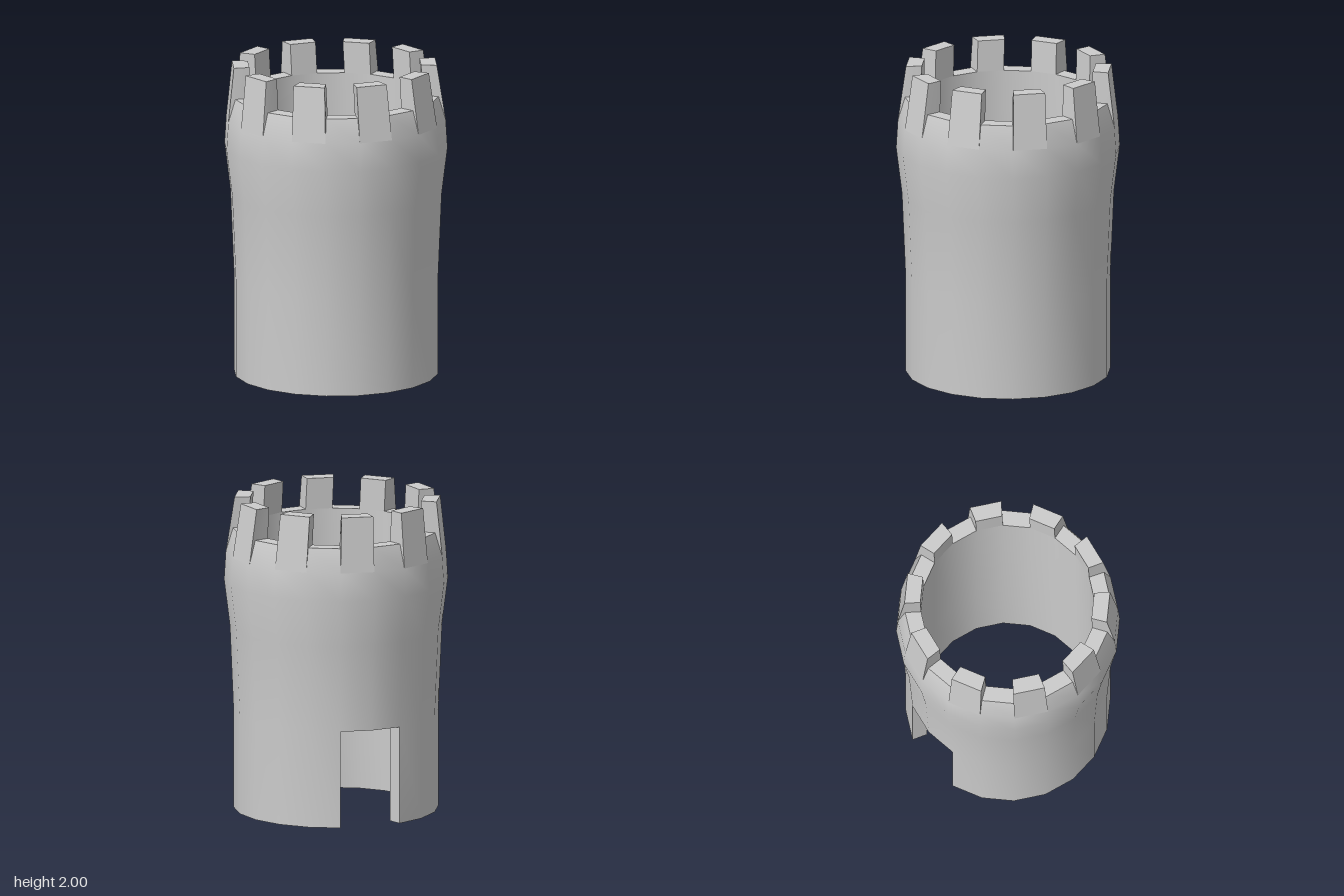
import * as THREE from 'three';
import { toCreasedNormals } from 'three/addons/utils/BufferGeometryUtils.js';

const SIDES = 20, STEP = 18, START = 7.3;
const INNER = 0.548, CRENEL_Y = 1.8, TOP_Y = 2, TOP_R = 0.648;
// Outer wall profile as [radius, height]
const PROFILE = [[0.645, 0], [0.645, 0.62], [0.668, 1.17], [0.705, 1.47], [0.694, 1.65], [TOP_R, CRENEL_Y]];
const SHOULDER = PROFILE[4];
const isMerlon = k => k % 2 === 1;
const isNotch = k => k === 14 || k === 15;

// Point on ring edge k; the merlon tops lean slightly
function at(k, [r, y]) {
  const a = THREE.MathUtils.degToRad(START + STEP * k);
  const lean = y > CRENEL_Y ? 1 : 0;
  return [r * Math.cos(a) - 0.004 * lean, y, r * Math.sin(a) - 0.011 * lean];
}

// Collects convex faces, each split into a triangle fan
function faceSet() {
  const pos = [];
  const face = (pts, flip = false) => {
    const p = flip ? [...pts].reverse() : pts;
    for (let i = 1; i < p.length - 1; i++) pos.push(...p[0], ...p[i], ...p[i + 1]);
  };
  // Strip across segment k, from one section point to the next
  const strip = (k, from, to) => face([at(k, from), at(k, to), at(k + 1, to), at(k + 1, from)]);
  // Flat face lying in the radial plane of edge k
  const section = (k, pts, flip) => face(pts.map(p => at(k, p)), flip);
  const mesh = (name, material) => {
    const g = new THREE.BufferGeometry();
    g.setAttribute('position', new THREE.Float32BufferAttribute(pos, 3));
    const m = new THREE.Mesh(toCreasedNormals(g, THREE.MathUtils.degToRad(35)), material);
    m.name = name;
    return m;
  };
  return { strip, section, mesh };
}

// Hollow flared wall with a doorway cut out at the back
function buildWall(material) {
  const f = faceSet();
  for (let k = 0; k < SIDES; k++) {
    const first = isNotch(k) ? 1 : 0;
    const last = isMerlon(k) ? 4 : 5;
    for (let i = first; i < last; i++) f.strip(k, PROFILE[i], PROFILE[i + 1]);
    // Inner face, underside and floor of the gap between merlons
    const inner = [[INNER, CRENEL_Y], [INNER, 0.62], [INNER, 0]];
    f.strip(k, inner[0], inner[1]);
    if (!first) f.strip(k, inner[1], inner[2]);
    f.strip(k, inner[first ? 1 : 2], PROFILE[first]);
    if (!isMerlon(k)) f.strip(k, PROFILE[5], inner[0]);
  }
  // Doorway jambs
  const jamb = [[INNER, 0], [INNER, 0.62], PROFILE[1], PROFILE[0]];
  f.section(14, jamb, true);
  f.section(16, jamb, false);
  return f.mesh('wall', material);
}

// One merlon, rising straight from the wall's shoulder
function buildMerlon(k, material) {
  const f = faceSet();
  const topOuter = [TOP_R, TOP_Y], topInner = [INNER, TOP_Y], base = [INNER, CRENEL_Y];
  f.strip(k, SHOULDER, topOuter);
  f.strip(k, topOuter, topInner);
  f.strip(k, topInner, base);
  const side = [PROFILE[5], SHOULDER, topOuter, topInner, base];
  f.section(k, side, false);
  f.section(k + 1, side, true);
  return f.mesh('merlon', material);
}

export function createModel() {
  const group = new THREE.Group();
  group.name = 'tower';
  const material = new THREE.MeshStandardMaterial({ color: 0xcccccc, side: THREE.DoubleSide });
  group.add(buildWall(material));
  const merlons = new THREE.Group();
  merlons.name = 'merlons';
  for (let k = 0; k < SIDES; k++) if (isMerlon(k)) merlons.add(buildMerlon(k, material));
  group.add(merlons);
  return group;
}
